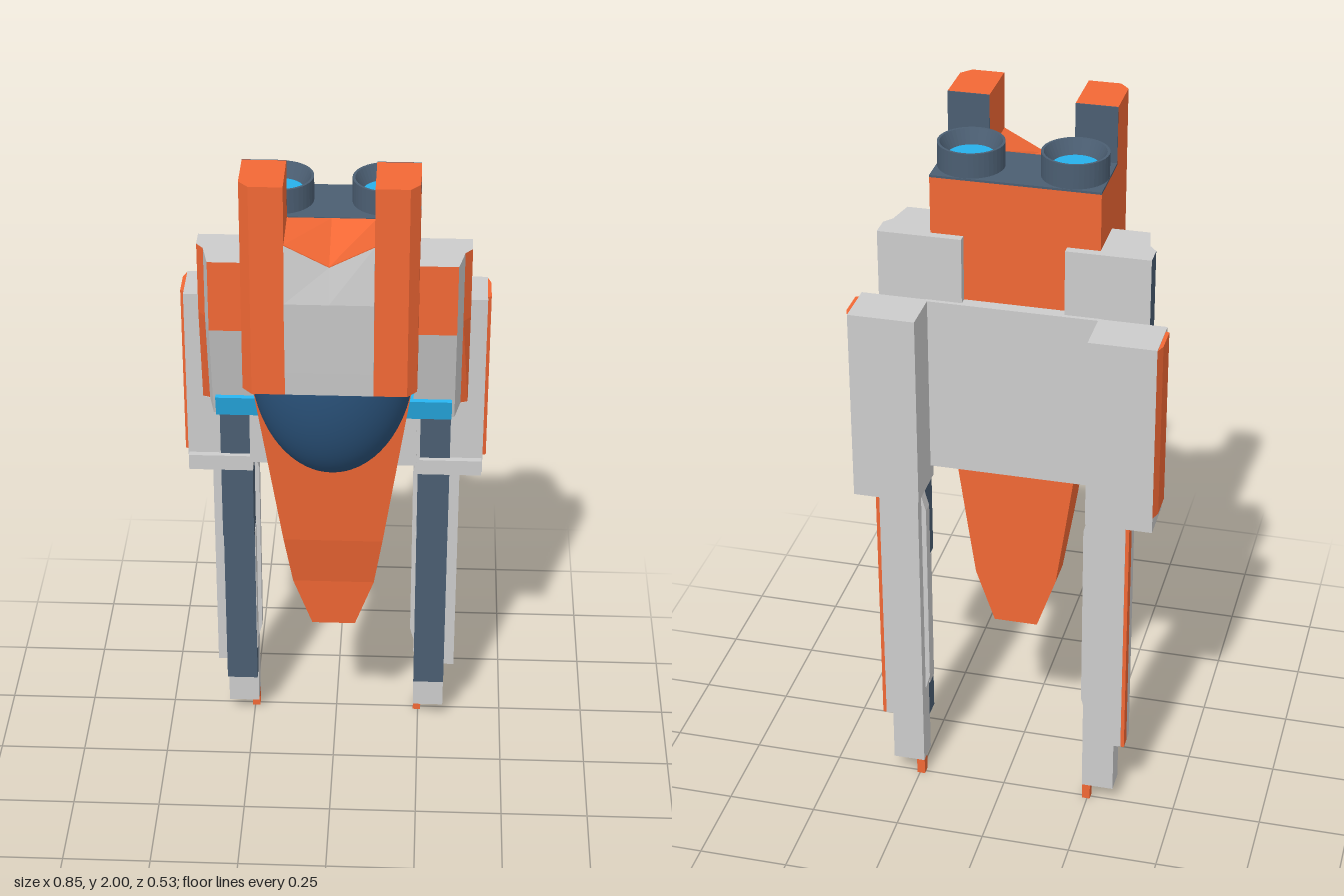
import * as THREE from 'three';

const GREY = 0xcccccc, ORANGE = 0xf26835, DARK = 0x4b5e72, CYAN = 0x27b0eb, GLASS = 0x2a527a;

const material = (color, flat = true) =>
  new THREE.MeshStandardMaterial({ color, flatShading: flat, side: THREE.DoubleSide });

function add(parent, name, geometry, color, flat = true) {
  const mesh = new THREE.Mesh(geometry, material(color, flat));
  mesh.name = name;
  parent.add(mesh);
  return mesh;
}

// Box given by its minimum and maximum on each axis
function box(parent, name, color, [x0, x1], [y0, y1], [z0, z1]) {
  const g = new THREE.BoxGeometry(x1 - x0, y1 - y0, z1 - z0);
  g.translate((x0 + x1) / 2, (y0 + y1) / 2, (z0 + z1) / 2);
  return add(parent, name, g, color);
}

// Skin closed cross-sections with flat facets; colorOf(side, level) paints each
// facet, and the end caps use side -1.
function loft(parent, name, sections, colorOf) {
  const buckets = new Map();
  const tri = (color, ...pts) => {
    if (!buckets.has(color)) buckets.set(color, []);
    for (const p of pts) buckets.get(color).push(...p);
  };
  const n = sections[0].length, last = sections.length - 1;
  for (let j = 0; j < last; j++) {
    for (let i = 0; i < n; i++) {
      const k = (i + 1) % n, a = sections[j], b = sections[j + 1], c = colorOf(i, j);
      tri(c, a[i], a[k], b[k]);
      tri(c, a[i], b[k], b[i]);
    }
  }
  for (let i = 1; i < n - 1; i++) {
    const a = sections[0], b = sections[last];
    tri(colorOf(-1, 0), a[0], a[i + 1], a[i]);
    tri(colorOf(-1, last), b[0], b[i], b[i + 1]);
  }
  const group = new THREE.Group();
  group.name = name;
  for (const [color, pos] of buckets) {
    const g = new THREE.BufferGeometry();
    g.setAttribute('position', new THREE.Float32BufferAttribute(pos, 3));
    g.computeVertexNormals();
    add(group, name + 'Facets', g, color);
  }
  parent.add(group);
  return group;
}

// Vertical prism from an x,z footprint
const prism = (parent, name, color, footprint, ys) =>
  loft(parent, name, ys.map(y => footprint.map(([x, z]) => [x, y, z])), () => color);

function buildHull(model) {
  const hull = new THREE.Group();
  hull.name = 'hull';
  model.add(hull);
  box(hull, 'mainBody', ORANGE, [-0.23, 0.23], [1.4, 1.836], [-0.104, 0.09]);
  box(hull, 'engineDeck', DARK, [-0.23, 0.23], [1.836, 1.842], [-0.104, 0.09]);

  // Notched roof between the prongs, and the bulged panel in front of it
  const xs = [-0.116, 0, 0.116];
  const topY = x => (x === 0 ? 1.78 : 1.84);
  loft(hull, 'notchedRoof', xs.map(x => [
    [x, 1.4, 0.09], [x, 1.4, 0.235], [x, topY(x), 0.246], [x, 1.84, 0.09]]), () => ORANGE);
  loft(hull, 'frontPanel', xs.map(x => [
    [x, 1.4, 0.2], [x, 1.4, 0.245], [x, 1.47, 0.251], [x, 1.68, 0.266],
    [x, topY(x) - 0.002, 0.247], [x, topY(x) - 0.03, 0.2]]), () => GREY);

  // Tapered nose: y, half width, front z
  const nose = [[1.4, 0.226, 0.09], [0.79, 0.14, 0.02], [0.625, 0.116, -0.015], [0.47, 0.062, -0.027]];
  loft(hull, 'nose', nose.map(([y, w, z]) => [
    [-w, y, z], [w, y, z], [w, y, -0.104], [-w, y, -0.104]]), () => ORANGE);

  // Canopy: the lower front quarter of an ellipsoid
  const canopy = new THREE.SphereGeometry(1, 40, 20, 0, Math.PI, Math.PI / 2, Math.PI / 2);
  canopy.scale(0.222, 0.34, 0.193);
  canopy.translate(0, 1.4, 0.052);
  add(hull, 'canopy', canopy, GLASS, false);

  // Plates joining the legs behind the body
  box(hull, 'backPlate', GREY, [-0.24, 0.24], [0.98, 1.49], [-0.14, -0.105]);
  box(hull, 'hipPlate', GREY, [-0.23, 0.23], [0.98, 1.19], [-0.12, -0.085]);
}

function buildSide(side) {
  // Prong with a bevelled outer corner and dark rear face
  prism(side, 'prong', ORANGE, [[0.116, 0.088], [0.23, 0.088], [0.23, 0.215],
    [0.204, 0.245], [0.116, 0.245]], [1.4, 2]);
  box(side, 'prongBack', DARK, [0.116, 0.23], [1.84, 2], [0.085, 0.088]);

  // Engine nozzle: outer wall, rim and inner cone
  const profile = [[0.09, 0], [0.09, 0.07], [0.083, 0.07], [0.063, 0.03]]
    .map(([r, y]) => new THREE.Vector2(r, y));
  const nozzle = add(side, 'nozzle', new THREE.LatheGeometry(profile, 40), DARK);
  nozzle.position.set(0.14, 1.84, -0.013);
  const glow = add(side, 'nozzleGlow', new THREE.CylinderGeometry(0.064, 0.064, 0.004, 40), CYAN);
  glow.position.set(0.14, 1.869, -0.013);

  // Bent shoulder: upper half upright, lower half swept back to a flat rear
  const foot = [[0.22, 0.035], [0.333, 0.035], [0.35, -0.045], [0.37, -0.07], [0.37, -0.128], [0.22, -0.128]];
  const levels = [[1.676, 0], [1.47, 0], [1.17, -0.075]];
  loft(side, 'shoulder',
    levels.map(([y, dz]) => foot.map(([x, z]) => [x, y, Math.max(z + dz, -0.128)])),
    (i, j) => (i === 0 && j === 0) || i === 2 ? ORANGE : i === 3 ? DARK : GREY);
  box(side, 'shoulderBracket', GREY, [0.14, 0.23], [1.17, 1.676], [-0.128, -0.1]);
  const vent = add(side, 'vent', new THREE.BoxGeometry(0.125, 0.065, 0.05), CYAN);
  vent.position.set(0.263, 1.207, -0.044);
  vent.rotation.x = 0.24;

  // Hip pod with a bevelled outer panel
  box(side, 'hipPod', GREY, [0.233, 0.417], [0.935, 1.49], [-0.265, -0.13]);
  box(side, 'hipPodLip', GREY, [0.233, 0.415], [0.935, 0.982], [-0.265, -0.112]);
  prism(side, 'hipPodPanel', ORANGE, [[0.415, -0.15], [0.427, -0.156], [0.427, -0.235],
    [0.417, -0.265]], [0.98, 1.488]);

  // Leg: dark front, grey spine and side strips
  const leg = new THREE.Group();
  leg.name = 'leg';
  side.add(leg);
  box(leg, 'thigh', DARK, [0.235, 0.325], [0.7, 1.2], [-0.2, -0.126]);
  box(leg, 'shin', DARK, [0.235, 0.325], [0.17, 0.7], [-0.2, -0.15]);
  box(leg, 'shinSidePlate', GREY, [0.233, 0.327], [0.28, 0.7], [-0.197, -0.152]);
  box(leg, 'spine', GREY, [0.235, 0.345], [0.205, 0.94], [-0.265, -0.196]);
  box(leg, 'sideRail', GREY, [0.34, 0.355], [0.205, 0.94], [-0.23, -0.196]);
  box(leg, 'sideStripe', ORANGE, [0.34, 0.355], [0.205, 0.94], [-0.264, -0.23]);
  box(leg, 'ankle', GREY, [0.235, 0.325], [0.05, 0.21], [-0.265, -0.196]);
  box(leg, 'toe', ORANGE, [0.235, 0.258], [0, 0.05], [-0.262, -0.235]);
  // Thin inner plate with bevelled ends
  const ends = [[0.28, 0.236], [0.33, 0.222], [0.89, 0.222], [0.94, 0.236]];
  loft(leg, 'innerPlate', ends.map(([y, x]) => [
    [x, y, -0.233], [x, y, -0.2], [0.24, y, -0.2], [0.24, y, -0.233]]), () => GREY);
}

export function createModel() {
  const model = new THREE.Group();
  model.name = 'standingCraft';
  buildHull(model);
  for (const s of [1, -1]) {
    const side = new THREE.Group();
    side.name = s > 0 ? 'leftSide' : 'rightSide';
    side.scale.x = s;
    buildSide(side);
    model.add(side);
  }
  return model;
}
